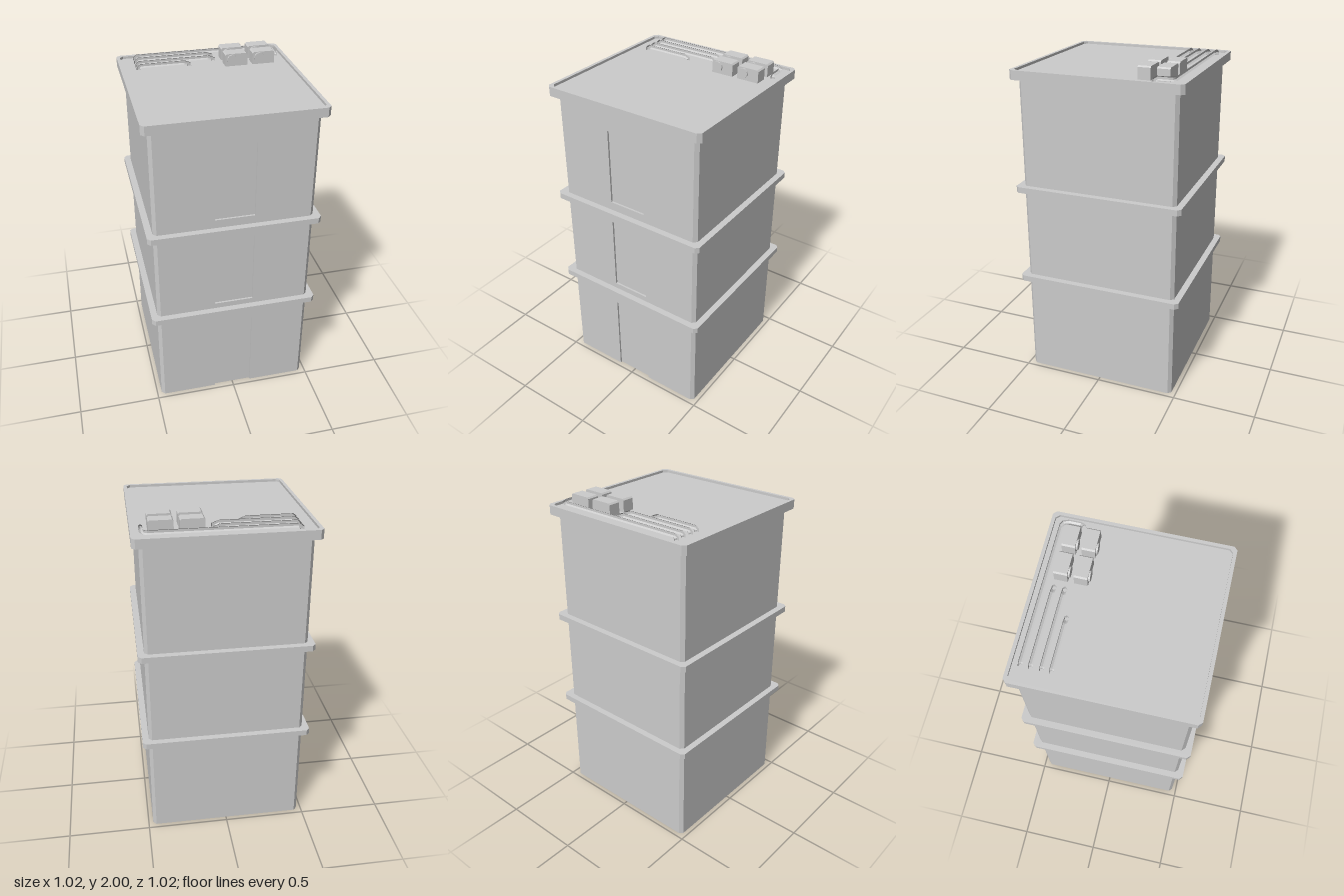
import * as THREE from 'three';

const solid = new THREE.MeshStandardMaterial({ color: 0xcccccc, flatShading: true });
const sheet = new THREE.MeshStandardMaterial({ color: 0xcccccc, flatShading: true, side: THREE.DoubleSide });

const WALL = 0.472, CHAMFER = 0.02, DOOR = 0.118, RECESS = 0.012, ROOF = 1.925;

function add(parent, name, geometry, material = solid) {
  const mesh = new THREE.Mesh(geometry, material);
  mesh.name = name;
  parent.add(mesh);
  return mesh;
}

function flatGeometry(positions) {
  const g = new THREE.BufferGeometry();
  g.setAttribute('position', new THREE.Float32BufferAttribute(positions, 3));
  g.computeVertexNormals();
  return g;
}

// Square with cut corners, as 2D points
function cutSquare(h, c) {
  const k = h - c;
  return [[-k, -h], [k, -h], [h, -k], [h, k], [k, h], [-k, h], [-h, k], [-h, -k]]
    .map(([x, y]) => new THREE.Vector2(x, y));
}

// Horizontal slab between two heights, optionally hollow
function slab(h, y0, y1, hole) {
  const shape = new THREE.Shape(cutSquare(h, CHAMFER));
  if (hole) shape.holes.push(new THREE.Path(cutSquare(hole, CHAMFER)));
  return new THREE.ExtrudeGeometry(shape, { depth: y1 - y0, bevelEnabled: false })
    .rotateX(-Math.PI / 2).translate(0, y0, 0);
}

// Upright strip of wall following [x, z] points
function strip(path, y0, y1) {
  const p = [];
  for (let i = 0; i + 1 < path.length; i++) {
    const [ax, az] = path[i], [bx, bz] = path[i + 1];
    p.push(ax, y0, az, bx, y0, bz, bx, y1, bz, ax, y0, az, bx, y1, bz, ax, y1, az);
  }
  return flatGeometry(p);
}

// One storey: wall shell with a shallow door or window recess in front
function storey(name, y0, y1, open0, open1) {
  const g = new THREE.Group();
  g.name = name;
  const w = WALL, k = WALL - CHAMFER, inner = WALL - RECESS;
  add(g, 'walls', strip([[DOOR, w], [k, w], [w, k], [w, -k], [k, -w], [-k, -w],
    [-w, -k], [-w, k], [-k, w], [-DOOR, w]], y0, y1), sheet);
  add(g, 'recessedPanel', strip([[-DOOR, w], [-DOOR, inner], [DOOR, inner], [DOOR, w]], open0, open1), sheet);
  const ledge = (dir, y) => new THREE.PlaneGeometry(2 * DOOR, RECESS)
    .rotateX(dir * Math.PI / 2).translate(0, y, w - RECESS / 2);
  add(g, 'wallAboveOpening', strip([[-DOOR, w], [DOOR, w]], open1, y1), sheet);
  add(g, 'lintel', ledge(1, open1), sheet);
  if (open0 > y0) {
    add(g, 'wallBelowOpening', strip([[-DOOR, w], [DOOR, w]], y0, open0), sheet);
    add(g, 'sill', ledge(-1, open0), sheet);
  }
  return g;
}

// Hexagonal pipe with mitred bends: each ring slides along its segment onto the bend plane
function pipe(coords, radius = 0.0125, sides = 6) {
  const pts = coords.map(c => new THREE.Vector3(...c));
  const dirs = pts.slice(1).map((p, i) => p.clone().sub(pts[i]).normalize());
  const u = new THREE.Vector3(0, 0, 1), v = dirs[0].clone().cross(u).normalize();
  let ring = [];
  for (let i = 0; i < sides; i++) {
    const a = (i + 0.5) / sides * Math.PI * 2;
    ring.push(pts[0].clone().addScaledVector(u, Math.cos(a) * radius).addScaledVector(v, Math.sin(a) * radius));
  }
  const out = [];
  const tri = (...vs) => vs.forEach(q => out.push(q.x, q.y, q.z));
  dirs.forEach((d, s) => {
    const end = pts[s + 1];
    const n = d.clone().add(dirs[s + 1] || d).normalize();
    const next = ring.map(q => q.clone().addScaledVector(d, end.clone().sub(q).dot(n) / d.dot(n)));
    for (let i = 0; i < sides; i++) {
      const j = (i + 1) % sides;
      tri(ring[i], next[j], ring[j], ring[i], next[i], next[j]);
    }
    ring = next;
  });
  return flatGeometry(out);
}

// Roof cooling unit with softened top edges and a fan drum on its front
function coolingUnit(x, z) {
  const g = new THREE.Group();
  g.name = 'coolingUnit';
  const w = 0.0675, h = 2 - ROOF, c = 0.008, depth = 0.074;
  const shape = new THREE.Shape([[-w, 0], [w, 0], [w, h - c], [w - c, h], [c - w, h], [-w, h - c]]
    .map(([a, b]) => new THREE.Vector2(a, b)));
  add(g, 'housing', new THREE.ExtrudeGeometry(shape, { depth, bevelEnabled: false }).translate(0, 0, -depth / 2));
  add(g, 'fan', new THREE.CylinderGeometry(0.03, 0.03, 0.02, 12)
    .rotateX(Math.PI / 2).translate(-0.028, 1.967 - ROOF, depth / 2));
  g.position.set(x, ROOF, z);
  return g;
}

export function createModel() {
  const model = new THREE.Group();
  model.name = 'building';

  // Storeys and the bands between them
  model.add(storey('groundFloor', 0, 0.64, 0, 0.535));
  model.add(storey('middleFloor', 0.64, 1.23, 0.695, 1.16));
  model.add(storey('topFloor', 1.23, 1.9, 1.3, 1.76));
  add(model, 'lowerBand', slab(0.51, 0.625, 0.66));
  add(model, 'upperBand', slab(0.51, 1.212, 1.248));

  // Roof with raised rim
  add(model, 'parapet', slab(0.51, 1.885, 1.94, 0.49));
  add(model, 'roof', slab(0.49, 1.885, ROOF));

  // Roof pipes, ends turned down into the roof
  const top = 1.95, low = 1.92;
  const start = z => [[-0.402, low, z], [-0.402, 1.938, z], [-0.388, top, z]];
  for (const [z, end] of [[-0.39, 0.06], [-0.332, 0.06], [-0.281, -0.098]]) {
    add(model, 'roofPipe', pipe([...start(z), [end - 0.03, top, z], [end, 1.938, z], [end, low, z]]));
  }
  add(model, 'cornerPipe', pipe([...start(-0.444), [0.425, top, -0.444], [0.443, top, -0.435],
    [0.452, top, -0.41], [0.452, top, -0.345], [0.452, 1.938, -0.327], [0.452, low, -0.327]]));

  // Cooling units in two rows
  for (const x of [0.179, 0.347]) for (const z of [-0.367, -0.258]) model.add(coolingUnit(x, z));

  return model;
}
